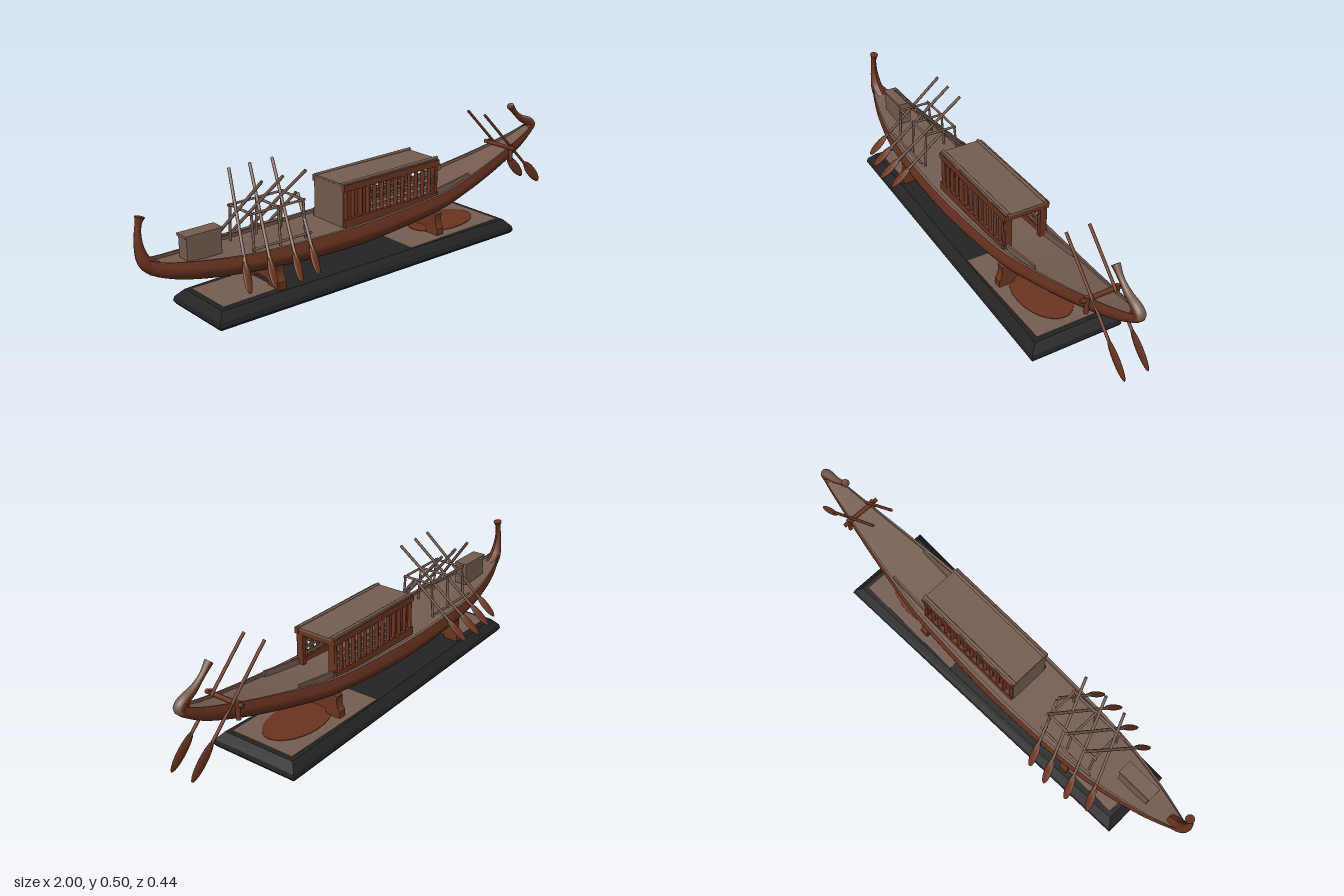
import * as THREE from 'three';

const mat = (name, color, side = THREE.FrontSide) => {
  const m = new THREE.MeshStandardMaterial({ color, side });
  m.name = name;
  return m;
};

export function createModel() {
  const rust = mat('rust wood', 0x6b3420, THREE.DoubleSide);
  const tan = mat('weathered wood', 0x755c50, THREE.DoubleSide);
  const black = mat('black stand', 0x232324);
  const model = new THREE.Group();
  model.name = 'modelBoat';
  const V = (x, y, z) => new THREE.Vector3(x, y, z);

  const add = (name, geo, material, parent = model) => {
    const mesh = new THREE.Mesh(geo, material);
    mesh.name = name;
    parent.add(mesh);
    return mesh;
  };
  // Box given by its limits
  const box = (name, x0, x1, y0, y1, z0, z1, material, parent) => {
    const mesh = add(name, new THREE.BoxGeometry(x1 - x0, y1 - y0, z1 - z0), material, parent);
    mesh.position.set((x0 + x1) / 2, (y0 + y1) / 2, (z0 + z1) / 2);
    return mesh;
  };
  // Round bar between two points
  const bar = (name, a, b, r, material, parent, r2 = r) => {
    const mesh = add(name, new THREE.CylinderGeometry(r2, r, a.distanceTo(b), 8), material, parent);
    mesh.position.copy(a).add(b).multiplyScalar(0.5);
    mesh.quaternion.setFromUnitVectors(V(0, 1, 0), b.clone().sub(a).normalize());
    return mesh;
  };
  // Skin over rows of points
  const loft = (name, rows, material, flat = false) => {
    const n = rows[0].length, index = [];
    for (let i = 0; i < rows.length - 1; i++)
      for (let j = 0; j < n - 1; j++) {
        const a = i * n + j, b = a + n;
        index.push(a, b, a + 1, b, b + 1, a + 1);
      }
    let geo = new THREE.BufferGeometry().setFromPoints(rows.flat());
    geo.setIndex(index);
    if (flat) geo = geo.toNonIndexed();
    geo.computeVertexNormals();
    return add(name, geo, material);
  };

  // Hull stations: x, keel height, sheer height, half width
  const stations = [
    [-0.985, 0.25, 0.29, 0.01], [-0.93, 0.2, 0.262, 0.035], [-0.8, 0.157, 0.242, 0.075],
    [-0.6, 0.128, 0.226, 0.115], [-0.35, 0.108, 0.22, 0.134], [-0.05, 0.102, 0.221, 0.14],
    [0.3, 0.13, 0.236, 0.126], [0.5, 0.167, 0.266, 0.102], [0.7, 0.22, 0.306, 0.07],
    [0.866, 0.28, 0.348, 0.04], [0.96, 0.335, 0.38, 0.022], [0.99, 0.362, 0.385, 0.008],
  ];
  const heights = new THREE.CatmullRomCurve3(stations.map(s => V(s[0], s[1], s[2])), false, 'catmullrom');
  const widths = new THREE.CatmullRomCurve3(stations.map(s => V(s[0], s[3], 0)), false, 'catmullrom');
  const hullRows = [], deckRows = [];
  for (let i = 0; i <= 66; i++) {
    const { x, y: keel, z: sheer } = heights.getPoint(i / 66);
    const w = Math.max(0.005, widths.getPoint(i / 66).y);
    const mid = sheer - 0.3 * (sheer - keel);
    const row = [V(x, sheer, w * 0.94)];
    for (let k = 0; k <= 18; k++) {
      const a = (k / 18) * Math.PI;
      row.push(V(x, mid - (mid - keel) * Math.sin(a), w * Math.cos(a)));
    }
    row.push(V(x, sheer, -w * 0.94));
    hullRows.push(row);
    const d = Math.min(0.012, w * 0.3);
    deckRows.push([[0, -0.94], [0, -0.85], [d, -0.85], [d, 0.85], [0, 0.85], [0, 0.94]]
      .map(([drop, s]) => V(x, sheer - drop, s * w)));
  }
  loft('hull', hullRows, rust);
  loft('deck', deckRows, tan, true);

  // Curved end posts: points are x, y, radius; arcs let one side take another colour
  const post = (name, pts, a0, a1, material) => {
    const curve = new THREE.CatmullRomCurve3(pts.map(p => V(p[0], p[1], p[2])), false, 'catmullrom');
    const rows = [];
    for (let i = 0; i <= 28; i++) {
      const p = curve.getPoint(i / 28), t = curve.getTangent(i / 28);
      t.z = 0;
      t.normalize();
      const row = [];
      for (let k = 0; k <= 10; k++) {
        const a = a0 + (a1 - a0) * k / 10, c = Math.cos(a) * p.z;
        row.push(V(p.x + t.y * c, p.y - t.x * c, Math.sin(a) * p.z));
      }
      rows.push(row);
    }
    loft(name, rows, material);
    const end = rows[28], centre = V(pts.at(-1)[0], pts.at(-1)[1], 0);
    loft(name + 'Tip', [end, end.map(() => centre.clone())], material, true);
  };
  const bow = [[-0.93, 0.23, 0.028], [-0.968, 0.265, 0.025], [-0.984, 0.32, 0.017],
    [-0.985, 0.37, 0.012], [-0.979, 0.405, 0.012], [-0.973, 0.425, 0.018]];
  const stern = [[0.95, 0.363, 0.02], [0.976, 0.378, 0.021], [0.955, 0.398, 0.02],
    [0.912, 0.418, 0.015], [0.87, 0.45, 0.011], [0.835, 0.487, 0.016]];
  post('bowPost', bow, 0, 2 * Math.PI, rust);
  post('sternPostTop', stern, -Math.PI / 3, Math.PI / 3, tan);
  post('sternPost', stern, Math.PI / 3, Math.PI * 5 / 3, rust);

  // Stand: tapered in plan with bevelled edges
  const standGeo = new THREE.BoxGeometry(2, 3, 2, 1, 3, 1).toNonIndexed();
  const sp = standGeo.attributes.position;
  const levels = [[0, 0.008], [0.012, 0], [0.03, 0.004], [0.06, 0.032]];
  for (let i = 0; i < sp.count; i++) {
    const [y, inset] = levels[Math.round(sp.getY(i) + 1.5)];
    const right = sp.getX(i) > 0;
    sp.setXYZ(i, right ? 0.665 - inset : -0.785 + inset, y,
      Math.sign(sp.getZ(i)) * ((right ? 0.193 : 0.152) - inset));
  }
  standGeo.computeVertexNormals();
  add('stand', standGeo, black);
  box('standPanelStern', 0.12, 0.615, 0.058, 0.063, -0.142, 0.142, tan);
  box('standPanelBow', -0.735, -0.5, 0.058, 0.063, -0.102, 0.102, tan);
  const patch = add('standPatch', new THREE.CylinderGeometry(1, 1, 0.004, 28), rust);
  patch.scale.set(0.16, 1, 0.1);
  patch.position.set(0.42, 0.0635, 0);

  // Cradles with an arched foot
  const cradle = new THREE.Shape();
  cradle.moveTo(-0.118, 0.06);
  cradle.lineTo(-0.118, 0.09);
  cradle.quadraticCurveTo(-0.1, 0.11, -0.107, 0.15);
  cradle.lineTo(-0.09, 0.158);
  cradle.lineTo(0.09, 0.158);
  cradle.lineTo(0.107, 0.15);
  cradle.quadraticCurveTo(0.1, 0.11, 0.118, 0.09);
  cradle.lineTo(0.118, 0.06);
  cradle.lineTo(0.055, 0.06);
  cradle.quadraticCurveTo(0.055, 0.086, 0.04, 0.086);
  cradle.lineTo(-0.04, 0.086);
  cradle.quadraticCurveTo(-0.055, 0.086, -0.055, 0.06);
  const cradleGeo = new THREE.ExtrudeGeometry(cradle, { depth: 0.034, bevelEnabled: false });
  cradleGeo.rotateY(Math.PI / 2);
  for (const x of [-0.51, 0.285]) add('cradle', cradleGeo, rust).position.x = x;

  // Cabin: columns, lattice, roof
  const cabin = new THREE.Group();
  cabin.name = 'cabin';
  model.add(cabin);
  for (const s of [-1, 1]) {
    for (let i = 0; i < 14; i++)
      bar('column', V(-0.17 + i * 0.0362, 0.2, s * 0.085), V(-0.17 + i * 0.0362, 0.365, s * 0.085), 0.008, rust, cabin);
    box('sideWall', -0.175, -0.04, 0.2, 0.36, s * 0.078 - 0.003, s * 0.078 + 0.003, rust, cabin);
    for (const y of [0.25, 0.275, 0.3])
      box('lattice', -0.04, 0.3, y, y + 0.012, s * 0.078 - 0.003, s * 0.078 + 0.003, tan, cabin);
    box('sill', -0.18, 0.308, 0.205, 0.24, s * 0.086 - 0.009, s * 0.086 + 0.009, rust, cabin);
    box('roofBeam', -0.182, 0.312, 0.35, 0.375, s * 0.086 - 0.009, s * 0.086 + 0.009, rust, cabin);
    bar('roofRail', V(-0.184, 0.377, s * 0.078), V(0.314, 0.381, s * 0.078), 0.006, tan, cabin);
    box('doorPost', 0.29, 0.308, 0.21, 0.36, s * 0.075 - 0.014, s * 0.075 + 0.014, rust, cabin);
  }
  box('endWall', -0.182, -0.172, 0.205, 0.37, -0.085, 0.085, tan, cabin);
  box('doorLintel', 0.292, 0.31, 0.35, 0.374, -0.09, 0.09, rust, cabin);
  box('roof', -0.181, 0.311, 0.368, 0.377, -0.09, 0.09, tan, cabin);

  // Chest near the bow
  box('chest', -0.82, -0.68, 0.225, 0.312, -0.026, 0.026, tan);
  box('chestLid', -0.825, -0.675, 0.312, 0.322, -0.029, 0.029, tan);

  // Side boards behind the cabin
  for (const s of [-1, 1]) {
    const board = box('sideBoard', 0.31, 0.5, 0.238, 0.262, s * 0.082 - 0.004, s * 0.082 + 0.004, tan);
    board.rotation.z = 0.15;
  }

  // Oar: shaft with a flat leaf-shaped blade at its lower end
  const oar = (name, tip, top, bladeLen, bladeWidth, shaftMat) => {
    const g = new THREE.Group();
    g.name = name;
    model.add(g);
    const dir = top.clone().sub(tip).normalize();
    bar('shaft', tip.clone().addScaledVector(dir, bladeLen * 0.6), top, 0.006, shaftMat, g);
    const normal = V(0, 0, 1).addScaledVector(dir, -dir.z).normalize();
    const blade = add('blade', new THREE.SphereGeometry(1, 14, 10), rust, g);
    blade.quaternion.setFromRotationMatrix(
      new THREE.Matrix4().makeBasis(dir.clone().cross(normal), dir, normal));
    blade.scale.set(bladeWidth / 2, bladeLen / 2, 0.006);
    blade.position.copy(tip).addScaledVector(dir, bladeLen / 2);
  };
  const rowX = [-0.675, -0.585, -0.485, -0.4], rowZ = [0.18, 0.205, 0.22, 0.21];
  for (const s of [-1, 1]) {
    rowX.forEach((x, i) => oar('rowingOar', V(x, 0.12, s * rowZ[i]),
      i < 3 ? V(x + 0.12, 0.478, -s * 0.1) : V(x + 0.07, 0.36, s * 0.005), 0.12, 0.036, tan));
    oar('steeringOar', V(0.995, 0.125, s * 0.048), V(0.622, 0.492, s * 0.047), 0.15, 0.046, rust);
    // Rowing rack side
    bar('rackRail', V(-0.59, 0.355, s * 0.065), V(-0.345, 0.355, s * 0.065), 0.005, tan);
    bar('rackFoot', V(-0.6, 0.235, s * 0.095), V(-0.34, 0.235, s * 0.095), 0.005, tan);
    for (const x of [-0.58, -0.465, -0.352]) bar('rackPost', V(x, 0.21, s * 0.075), V(x, 0.358, s * 0.065), 0.005, tan);
    // Steering oar bracket
    bar('oarBracket', V(0.78, 0.265, s * 0.062), V(0.78, 0.335, s * 0.062), 0.009, rust);
  }
  for (const x of [-0.58, -0.465, -0.352]) bar('rackCrossbar', V(x, 0.355, -0.07), V(x, 0.355, 0.07), 0.005, tan);
  bar('steeringCrossbar', V(0.778, 0.322, -0.085), V(0.778, 0.322, 0.085), 0.009, rust);

  return model;
}
